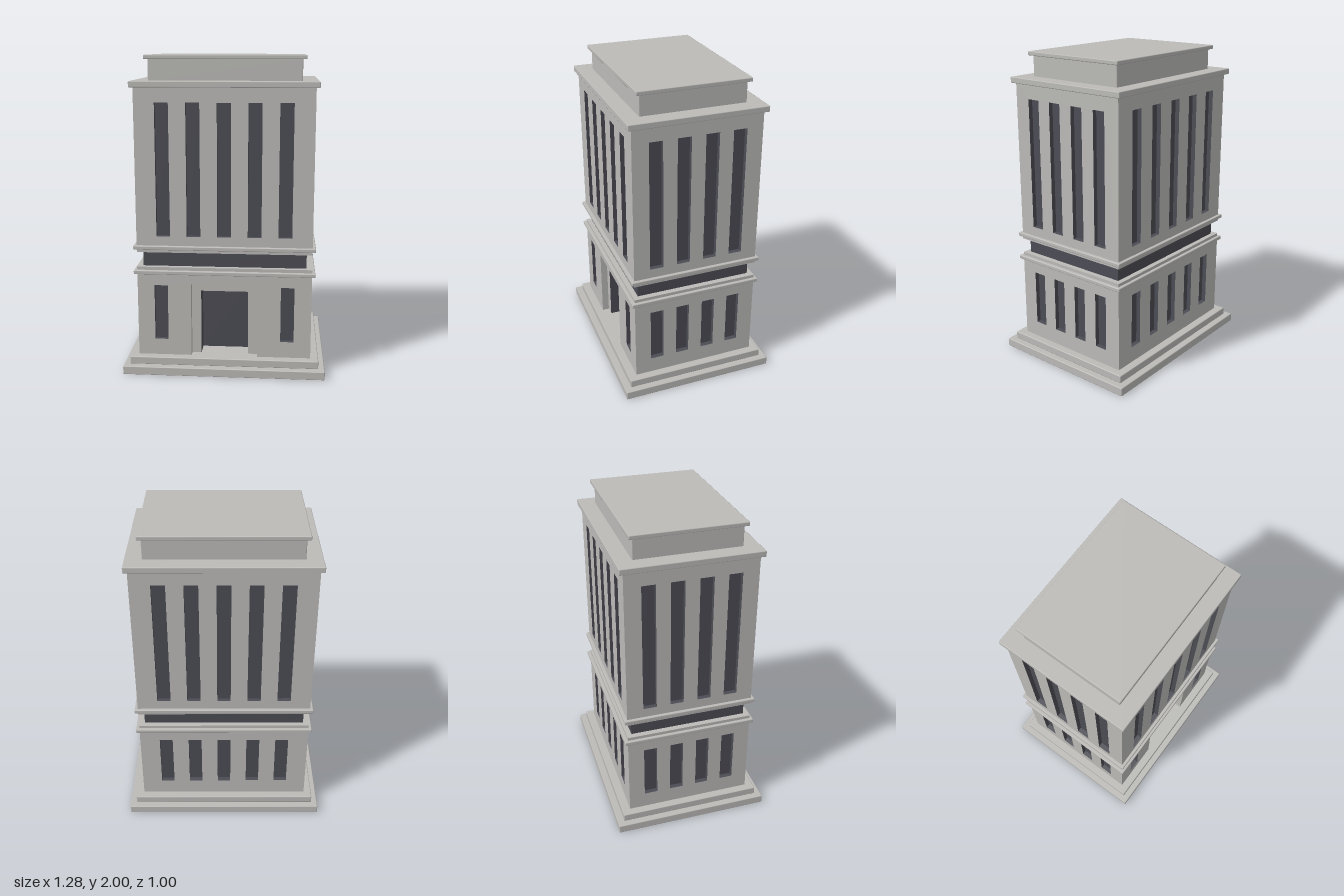
import * as THREE from 'three';
import { mergeGeometries } from 'three/addons/utils/BufferGeometryUtils.js';
import { RoundedBoxGeometry } from 'three/addons/geometries/RoundedBoxGeometry.js';

const stone = new THREE.MeshStandardMaterial({ color: 0xbcbbb8 });
stone.name = 'pale stone';
const glass = new THREE.MeshStandardMaterial({ color: 0x4c4c55 });
glass.name = 'dark glass';

const HALF_X = 0.55, HALF_Z = 0.405;

function add(parent, name, geometry, material) {
  const mesh = new THREE.Mesh(geometry, material);
  mesh.name = name;
  parent.add(mesh);
  return mesh;
}

// Box between two heights, with a tiny bevel when asked for
function slab(parent, name, halfX, halfZ, y0, y1, bevel = 0.005, material = stone) {
  const size = [halfX * 2, y1 - y0, halfZ * 2];
  const geometry = bevel ? new RoundedBoxGeometry(...size, 1, bevel) : new THREE.BoxGeometry(...size);
  add(parent, name, geometry, material).position.y = (y0 + y1) / 2;
}

// Flat wall with rectangular window holes and an optional doorway notch at the bottom
function panel(x, y0, y1, holes, door) {
  const outline = [[-x, y0]];
  if (door) outline.push([-door.x, y0], [-door.x, door.top], [door.x, door.top], [door.x, y0]);
  outline.push([x, y0], [x, y1], [-x, y1]);
  const shape = new THREE.Shape(outline.map(p => new THREE.Vector2(...p)));
  for (const h of holes) {
    const corners = [[h.x - h.w / 2, h.y0], [h.x - h.w / 2, h.y1], [h.x + h.w / 2, h.y1], [h.x + h.w / 2, h.y0]];
    shape.holes.push(new THREE.Path(corners.map(p => new THREE.Vector2(...p))));
  }
  return new THREE.ShapeGeometry(shape);
}

// Inward-facing sides of a recess that opens toward +z at z = 0
function recess(w, y0, y1, depth, { floor = true, back = true } = {}) {
  const h = y1 - y0, y = (y0 + y1) / 2, z = -depth / 2;
  const sides = [
    new THREE.PlaneGeometry(depth, h).rotateY(Math.PI / 2).translate(-w / 2, y, z),
    new THREE.PlaneGeometry(depth, h).rotateY(-Math.PI / 2).translate(w / 2, y, z),
    new THREE.PlaneGeometry(w, depth).rotateX(Math.PI / 2).translate(0, y1, z),
  ];
  if (floor) sides.push(new THREE.PlaneGeometry(w, depth).rotateX(-Math.PI / 2).translate(0, y0, z));
  if (back) sides.push(new THREE.PlaneGeometry(w, h).translate(0, y, -depth));
  return mergeGeometries(sides);
}

// One storey of one facade: wall panel plus its sunken windows
function storey(parent, name, halfWidth, dist, y0, y1, centres, win, door) {
  const holes = centres.map(x => ({ x, w: 0.085, y0: win[0], y1: win[1] }));
  add(parent, name + 'Wall', panel(halfWidth, y0, y1, holes, door), stone).position.z = dist;
  for (const h of holes) {
    add(parent, name + 'Window', recess(h.w, h.y0, h.y1, 0.03), glass).position.set(h.x, 0, dist);
  }
}

export function createModel() {
  const model = new THREE.Group();
  model.name = 'building';

  // Stepped base
  slab(model, 'basePlinth', 0.64, 0.5, 0, 0.055);
  slab(model, 'upperStep', 0.6, 0.458, 0.055, 0.105);

  // Four facades
  const wide = [-0.38, -0.19, 0, 0.19, 0.38];
  const narrow = [-0.26, -0.087, 0.087, 0.26];
  const doorway = { x: 0.21, top: 0.58 };
  ['front', 'left', 'back', 'right'].forEach((side, i) => {
    const facade = new THREE.Group();
    facade.name = side + 'Facade';
    facade.rotation.y = i * Math.PI / 2;
    model.add(facade);
    const long = i % 2 === 0;
    const half = long ? HALF_X : HALF_Z, dist = long ? HALF_Z : HALF_X;
    const centres = long ? wide : narrow;
    const isFront = i === 0;
    storey(facade, 'lower', half, dist, 0.1, 0.655, isFront ? [-0.4, 0.4] : centres, [0.21, 0.57], isFront && doorway);
    storey(facade, 'upper', half, dist, 0.81, 1.82, centres, [0.89, 1.72]);
  });

  // Entrance: shallow stone surround, then a deep dark doorway
  const entrance = new THREE.Group();
  entrance.name = 'entrance';
  model.add(entrance);
  const open = { floor: false, back: false };
  add(entrance, 'surroundReveal', recess(0.42, 0.1, 0.58, 0.045, open), stone).position.z = HALF_Z;
  add(entrance, 'surroundFace', panel(0.21, 0.1, 0.58, [], { x: 0.15, top: 0.525 }), stone).position.z = HALF_Z - 0.045;
  add(entrance, 'door', recess(0.3, 0.1, 0.525, 0.11, { floor: false }), glass).position.z = HALF_Z - 0.045;

  // Recessed dark belt between two mouldings
  slab(model, 'lowerMoulding', 0.57, 0.425, 0.645, 0.67);
  slab(model, 'lowerLedge', HALF_X, HALF_Z, 0.665, 0.69, 0);
  slab(model, 'glassBelt', 0.515, 0.373, 0.685, 0.79, 0, glass);
  slab(model, 'upperLedge', HALF_X, HALF_Z, 0.785, 0.81, 0);
  slab(model, 'upperMoulding', 0.57, 0.425, 0.805, 0.83);

  // Cornice and roof block
  slab(model, 'cornice', 0.573, 0.43, 1.81, 1.847);
  slab(model, 'roofBlock', 0.47, 0.33, 1.84, 1.98);
  slab(model, 'roofCap', 0.493, 0.352, 1.975, 2);

  return model;
}
